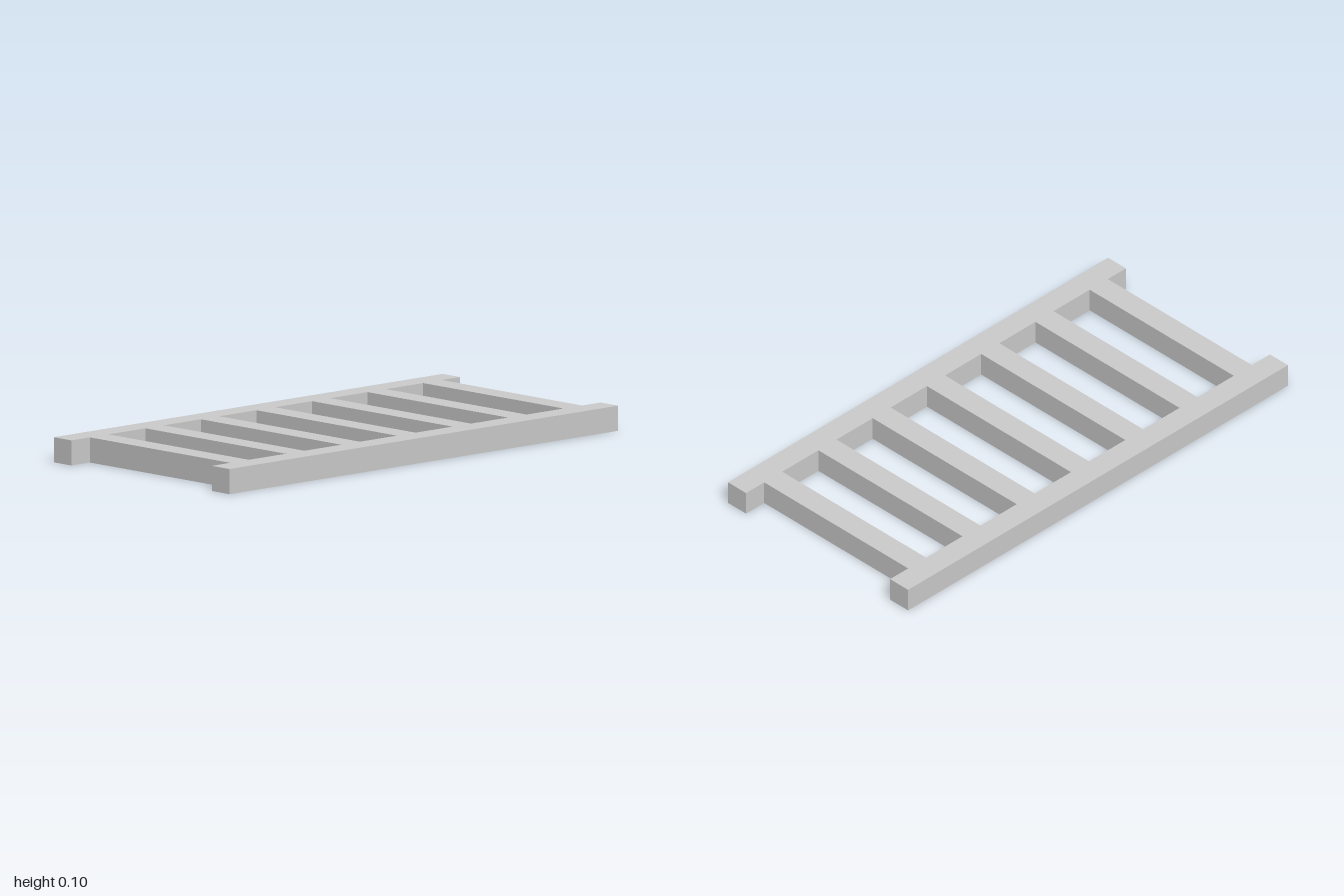
import * as THREE from 'three';

export function createModel() {
  const model = new THREE.Group();
  model.name = 'ladder';
  const material = new THREE.MeshStandardMaterial({ color: 0xcccccc, flatShading: true });

  // Every beam has a square section of one unit; the ladder is 21 units long, 10 wide
  const unit = 2 / 21;

  function addBeam(name, width, depth, x, z) {
    const beam = new THREE.Mesh(new THREE.BoxGeometry(width, unit, depth), material);
    beam.name = name;
    beam.position.set(x, unit / 2, z);
    model.add(beam);
  }

  // Two long side rails
  addBeam('frontRail', 21 * unit, unit, 0, 4.5 * unit);
  addBeam('backRail', 21 * unit, unit, 0, -4.5 * unit);

  // Seven evenly spaced rungs fitted between the rails
  for (let i = -3; i <= 3; i++) {
    addBeam(`rung${i + 4}`, unit, 8 * unit, i * 3 * unit, 0);
  }

  return model;
}
